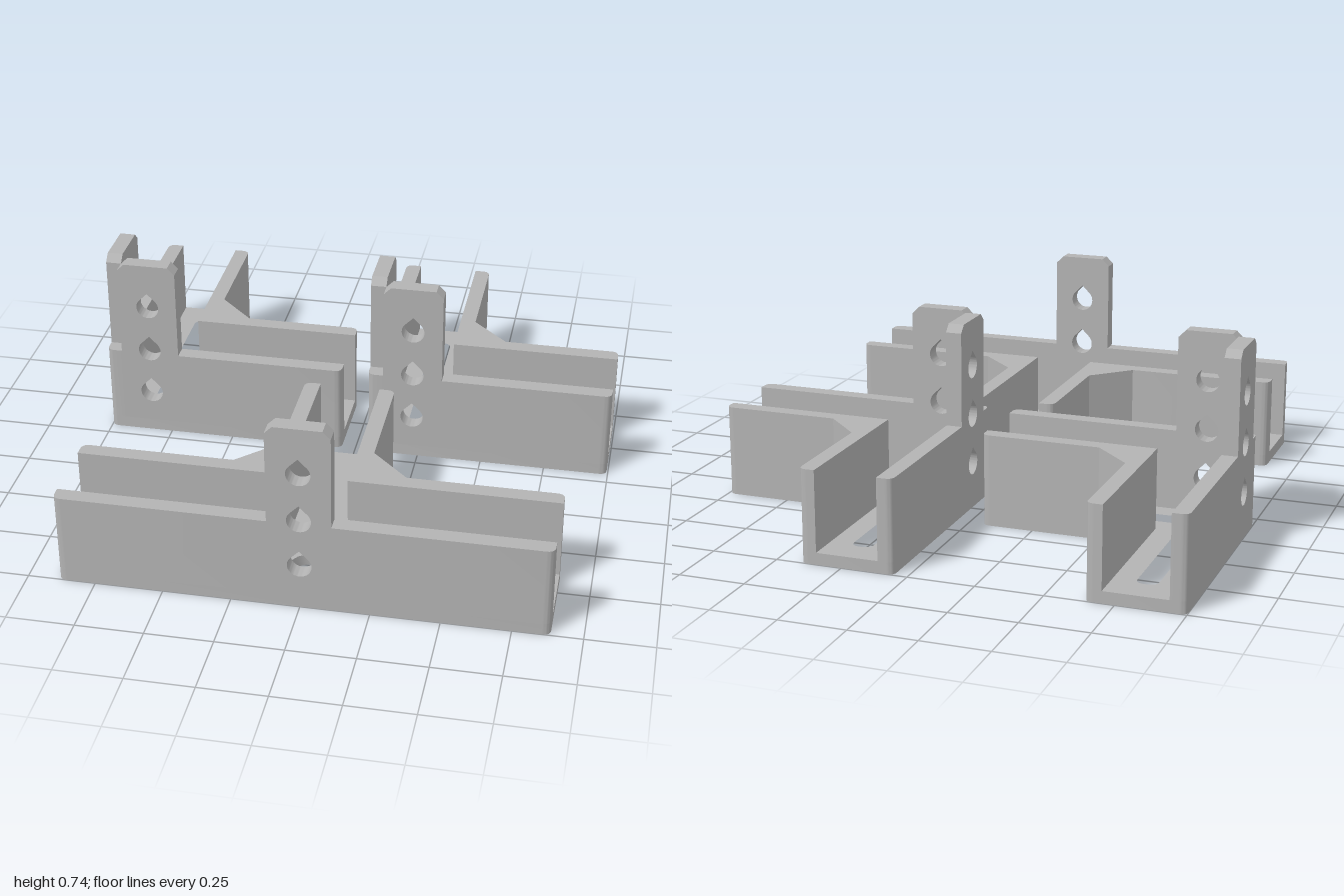
import * as THREE from 'three';
import { toCreasedNormals } from 'three/addons/utils/BufferGeometryUtils.js';

const FLOOR = 0.045, WALL = 0.35, TAB = 0.735, T = 0.06, R = 0.03;
const grey = new THREE.MeshStandardMaterial({ color: 0xb3b3b3 });
grey.name = 'grey plastic';

// Closed outline from [x, z, cornerRadius] points in plan
function outline(points, Kind = THREE.Shape) {
  const path = new Kind();
  const n = points.length;
  const v = points.map(([x, z]) => new THREE.Vector2(x, -z));
  points.forEach(([, , r = 0], i) => {
    const p = v[i];
    const toward = (q) => p.clone().add(q.clone().sub(p).setLength(r));
    const a = r ? toward(v[(i + n - 1) % n]) : p;
    if (i === 0) path.moveTo(a.x, a.y); else path.lineTo(a.x, a.y);
    if (r) {
      const b = toward(v[(i + 1) % n]);
      path.quadraticCurveTo(p.x, p.y, b.x, b.y);
    }
  });
  path.closePath();
  return path;
}

function addMesh(group, name, geometry) {
  const mesh = new THREE.Mesh(toCreasedNormals(geometry, 0.6), grey);
  mesh.name = name;
  group.add(mesh);
  return mesh;
}

// Plan shape raised from y0 to y1
function slab(group, name, shape, y0, y1) {
  const geo = new THREE.ExtrudeGeometry(shape, { depth: y1 - y0, bevelEnabled: false, curveSegments: 8 });
  geo.rotateX(-Math.PI / 2).translate(0, y0, 0);
  return addMesh(group, name, geo);
}

const wall = (group, name, points) => slab(group, name, outline(points), FLOOR, WALL);

// Upright tab with clipped top corners and three teardrop holes
function screwTab(group, name) {
  const w = 0.115, c = 0.028, r = 0.044;
  const shape = new THREE.Shape([
    [-w, FLOOR], [w, FLOOR], [w, TAB - c], [w - c, TAB], [-w + c, TAB], [-w, TAB - c],
  ].map(([x, y]) => new THREE.Vector2(x, y)));
  for (const y of [0.175, 0.363, 0.553]) {
    const hole = new THREE.Path();
    hole.absarc(0, y, r, Math.PI * 0.75, Math.PI * 2.25, false);
    hole.lineTo(0, y + r * Math.SQRT2);
    hole.closePath();
    shape.holes.push(hole);
  }
  return addMesh(group, name, new THREE.ExtrudeGeometry(shape, { depth: T, bevelEnabled: false, curveSegments: 20 }));
}

// L-shaped corner channel
function cornerBracket() {
  const g = new THREE.Group();
  const floor = outline([
    [-1, -1, R], [-0.645, -1, R], [-0.645, -0.55], [-0.505, -0.41],
    [-0.055, -0.41, R], [-0.055, -0.055, R], [-1, -0.055, R],
  ]);
  floor.holes.push(outline([
    [-0.865, -0.89, 0.036], [-0.787, -0.89, 0.036], [-0.787, -0.27], [-0.165, -0.27, 0.036],
    [-0.165, -0.195, 0.036], [-0.865, -0.195, 0.025],
  ], THREE.Path));
  slab(g, 'slottedFloor', floor, 0, FLOOR);

  wall(g, 'innerWall', [
    [-0.705, -1], [-0.645, -1, R], [-0.645, -0.55], [-0.505, -0.41],
    [-0.055, -0.41, R], [-0.055, -0.35], [-0.705, -0.35],
  ]);
  wall(g, 'sideWall', [[-1, -1, R], [-0.94, -1], [-0.94, -0.345], [-1, -0.345]]);
  wall(g, 'frontWall', [[-0.71, -0.115], [-0.055, -0.115], [-0.055, -0.055, R], [-0.71, -0.055]]);
  wall(g, 'cornerPost', [[-1, -0.115], [-0.94, -0.115], [-0.94, -0.055], [-1, -0.055, R]]);

  screwTab(g, 'frontTab').position.set(-0.825, 0, -0.115);
  const side = screwTab(g, 'sideTab');
  side.rotation.y = Math.PI / 2;
  side.position.set(-1, 0, -0.23);
  return g;
}

// T-shaped junction channel
function teeBracket() {
  const g = new THREE.Group();
  const half = [
    [0.175, 0.05, R], [0.175, 0.5], [0.317, 0.64], [0.885, 0.64, R], [0.885, 1, R],
  ];
  const mirrored = half.map(([x, z, r]) => [-x, z, r]).reverse();
  const floor = outline([...half, ...mirrored]);
  const hole = new THREE.Path();
  hole.absarc(0, -0.82, 0.078, 0, Math.PI * 2, false);
  floor.holes.push(hole);
  slab(g, 'drilledFloor', floor, 0, FLOOR);

  for (const s of [-1, 1]) {
    const name = s > 0 ? 'left' : 'right';
    wall(g, name + 'InnerWall', [
      [0.115, 0.05], [0.175, 0.05, R], [0.175, 0.5], [0.317, 0.64],
      [0.885, 0.64, R], [0.885, 0.7], [0.115, 0.7],
    ].map(([x, z, r]) => [s * x, z, r]));
    wall(g, name + 'FrontWall', [
      [0.115, 0.94], [0.885, 0.94], [0.885, 1, R], [0.115, 1],
    ].map(([x, z, r]) => [s * x, z, r]));
  }
  screwTab(g, 'frontTab').position.set(0, 0, 0.94);
  return g;
}

export function createModel() {
  const model = new THREE.Group();
  model.name = 'channelBrackets';
  [-1, 1].forEach((s) => {
    const corner = cornerBracket();
    corner.name = s < 0 ? 'rightCornerBracket' : 'leftCornerBracket';
    corner.position.x = s < 0 ? 0 : 1.05;
    model.add(corner);
  });
  const tee = teeBracket();
  tee.name = 'teeBracket';
  model.add(tee);
  return model;
}
